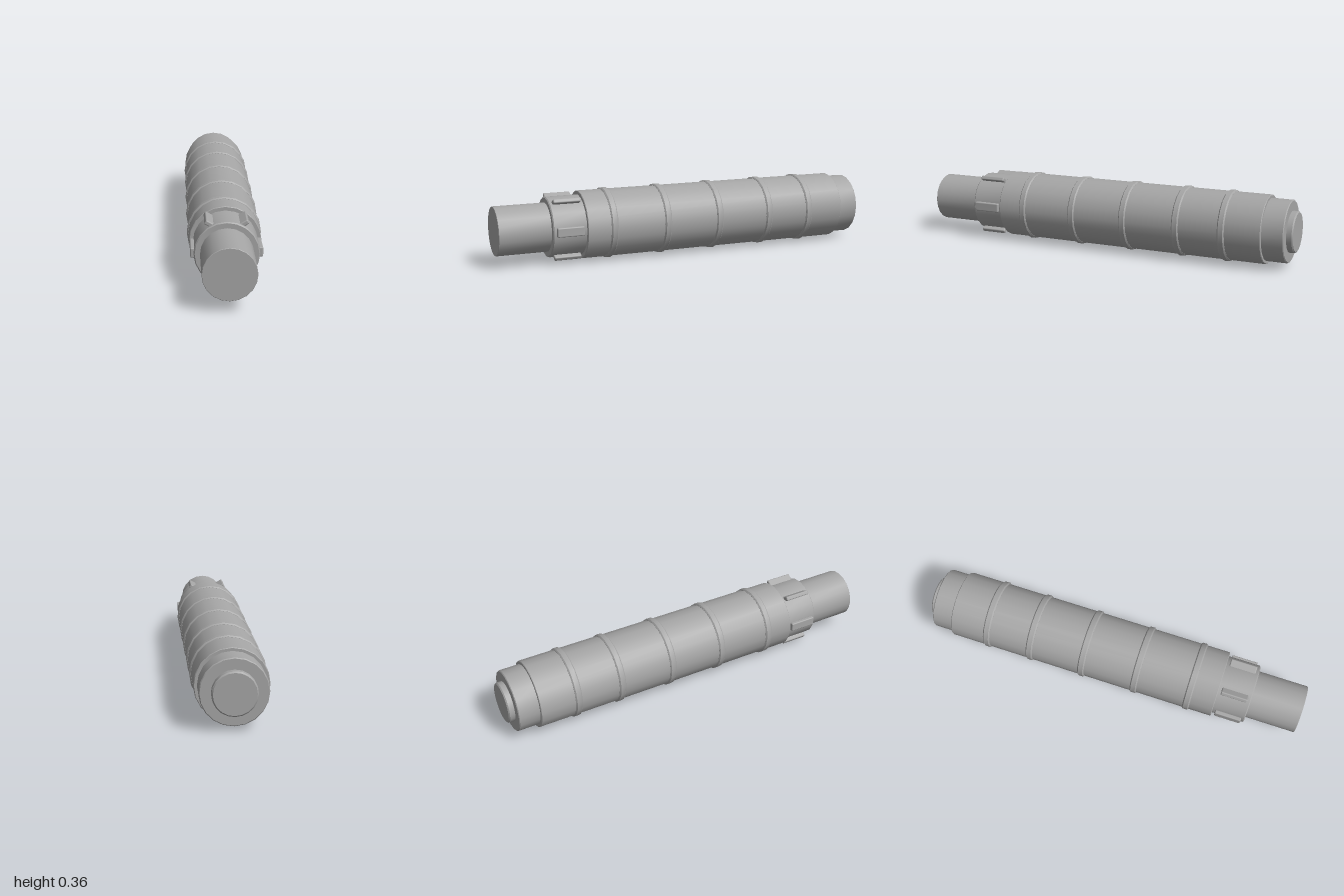
import * as THREE from 'three';
import { toCreasedNormals } from 'three/addons/utils/BufferGeometryUtils.js';
import { RoundedBoxGeometry } from 'three/addons/geometries/RoundedBoxGeometry.js';

const SIDES = 20;
const AXIS_Y = 0.179;

// Solid round section along z with chamfered rims
function section(r, z0, z1, bevel) {
  const profile = [
    [0, z0], [r - bevel, z0], [r, z0 + bevel],
    [r, z1 - bevel], [r - bevel, z1], [0, z1],
  ].map(([x, y]) => new THREE.Vector2(x, y));
  const geo = new THREE.LatheGeometry(profile, SIDES);
  geo.rotateX(Math.PI / 2);
  return toCreasedNormals(geo, 0.5);
}

export function createModel() {
  const grey = new THREE.MeshStandardMaterial({ color: 0xa6a6a6 });
  grey.name = 'grey';

  const model = new THREE.Group();
  model.name = 'handle';
  const barrel = new THREE.Group();
  barrel.name = 'barrel';
  barrel.position.y = AXIS_Y;
  model.add(barrel);

  const add = (name, geo) => {
    const mesh = new THREE.Mesh(geo, grey);
    mesh.name = name;
    barrel.add(mesh);
    return mesh;
  };

  // Stacked round sections, front to back
  add('frontTip', section(0.123, 0.7, 1, 0.002));
  add('collar', section(0.152, 0.55, 0.74, 0.005));
  add('gripBody', section(0.172, -0.86, 0.57, 0.003));
  add('rearCap', section(0.156, -0.968, -0.8, 0.004));
  add('endButton', section(0.103, -1, -0.95, 0.006));

  // Raised bands around the grip
  [0.432, 0.147, -0.14, -0.425, -0.662].forEach((z) => {
    add('gripRing', section(0.179, z - 0.018, z + 0.018, 0.006));
  });

  // Six lugs on the collar, the diagonal ones turned edge outward
  const lugGeo = new RoundedBoxGeometry(0.022, 0.047, 0.138, 2, 0.006);
  for (let i = 0; i < 6; i++) {
    const a = (i * Math.PI) / 3;
    const lug = add('collarLug', lugGeo);
    lug.position.set(Math.cos(a) * 0.156, Math.sin(a) * 0.156, 0.654);
    lug.rotation.z = -a;
  }
  return model;
}
